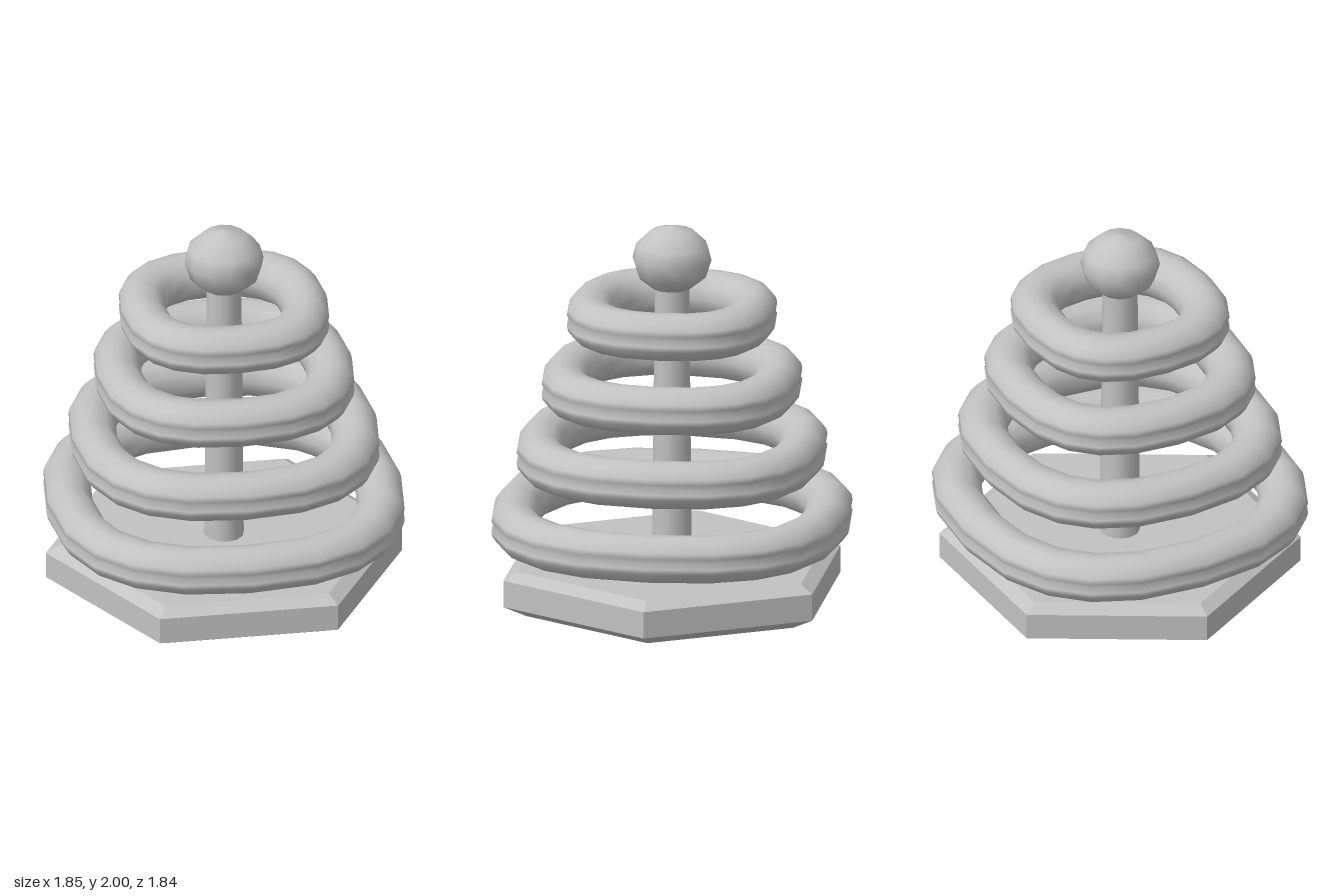
import * as THREE from 'three';

const grey = new THREE.MeshStandardMaterial({ color: 0xc2c2c2 });
grey.name = 'plain grey';

function addMesh(group, name, geometry) {
  const mesh = new THREE.Mesh(geometry, grey);
  mesh.name = name;
  group.add(mesh);
  return mesh;
}

const points = (list) => list.map(([x, y]) => new THREE.Vector2(x, y));

// Rounded-square outline with 20 corners, built from one quarter turned four times
function ringOutline() {
  const quarter = [[1, 0], [0.957, 0.386], [0.837, 0.652], [0.652, 0.837], [0.386, 0.957]];
  const outline = [];
  for (let q = 0; q < 4; q++) {
    const c = Math.round(Math.cos(q * Math.PI / 2));
    const s = Math.round(Math.sin(q * Math.PI / 2));
    for (const [x, z] of quarter) outline.push([x * c - z * s, x * s + z * c]);
  }
  return outline;
}

// Tube section as [outward, up], with a shallow groove around the outside
const section = [
  [0.102, 0], [0.121, 0.028], [0.115, 0.055], [0.085, 0.095], [0.045, 0.118], [0, 0.123],
  [-0.06, 0.107], [-0.104, 0.062], [-0.12, 0], [-0.104, -0.062], [-0.06, -0.107],
  [0, -0.123], [0.045, -0.118], [0.085, -0.095], [0.115, -0.055], [0.121, -0.028],
];

function ringGeometry(radius) {
  const outline = ringOutline();
  const n = outline.length, m = section.length;
  const position = [], index = [];
  outline.forEach(([x, z], i) => {
    section.forEach(([out, up], j) => {
      position.push(x * (radius + out), up, z * (radius + out));
      const i2 = (i + 1) % n, j2 = (j + 1) % m;
      const a = i * m + j, b = i * m + j2, c = i2 * m + j2, d = i2 * m + j;
      index.push(a, b, d, b, c, d);
    });
  });
  const geometry = new THREE.BufferGeometry();
  geometry.setAttribute('position', new THREE.Float32BufferAttribute(position, 3));
  geometry.setIndex(index);
  geometry.computeVertexNormals();
  return geometry;
}

export function createModel() {
  const group = new THREE.Group();
  group.name = 'stackingRingToy';

  // Six-sided base with bevelled edges and flat faces
  const profile = points([[0, 0], [0.8, 0], [0.925, 0.06], [0.925, 0.2], [0.85, 0.24], [0, 0.24]]);
  const base = new THREE.LatheGeometry(profile, 6).toNonIndexed();
  base.rotateY(Math.PI / 2);
  base.computeVertexNormals();
  addMesh(group, 'base', base);

  // Slightly tapered post
  const post = addMesh(group, 'post', new THREE.CylinderGeometry(0.09, 0.103, 1.46, 12));
  post.position.y = 0.96;

  // Four rings, shrinking upward
  for (let i = 0; i < 4; i++) {
    const ring = addMesh(group, 'ring' + (i + 1), ringGeometry(0.799 - i * 0.128));
    ring.position.y = 0.453 + i * 0.358;
  }

  // Faceted knob, flattened where it meets the post
  const knob = points([[0, 1.67], [0.1, 1.67], [0.175, 1.73], [0.205, 1.825],
    [0.185, 1.9], [0.11, 1.972], [0, 2]]);
  addMesh(group, 'knob', new THREE.LatheGeometry(knob, 12));

  return group;
}
